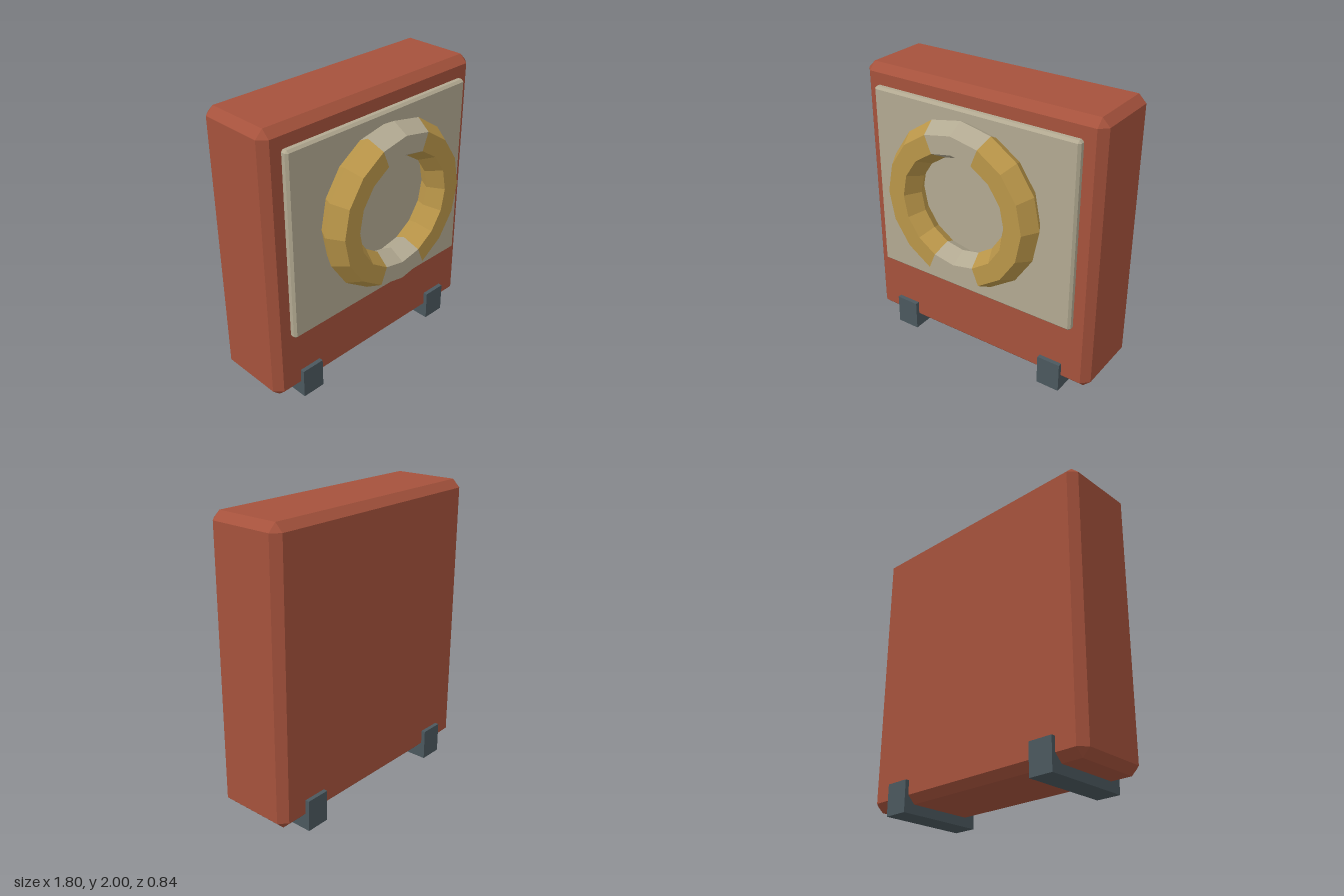
import * as THREE from 'three';
import { ConvexGeometry } from 'three/addons/geometries/ConvexGeometry.js';

const mat = (color) => new THREE.MeshStandardMaterial({ color, flatShading: true });

// Box with every edge and corner cut flat by c
function chamferBox(w, h, d, c) {
  const points = [];
  for (const sx of [-1, 1]) for (const sy of [-1, 1]) for (const sz of [-1, 1]) {
    const x = w / 2, y = h / 2, z = d / 2;
    points.push(
      new THREE.Vector3(sx * x, sy * (y - c), sz * (z - c)),
      new THREE.Vector3(sx * (x - c), sy * y, sz * (z - c)),
      new THREE.Vector3(sx * (x - c), sy * (y - c), sz * z));
  }
  return new ConvexGeometry(points);
}

export function createModel() {
  const model = new THREE.Group();
  model.name = 'panelWithRing';
  const red = mat(0xa5523c), cream = mat(0xb2a991), gold = mat(0xba9649), slate = mat(0x4b585e);

  const add = (parent, name, geometry, material, x, y, z) => {
    const mesh = new THREE.Mesh(geometry, material);
    mesh.name = name;
    mesh.position.set(x, y, z);
    parent.add(mesh);
    return mesh;
  };

  // Body and front plate
  add(model, 'body', chamferBox(1.8, 1.935, 0.56, 0.053), red, 0, 1.0325, -0.11);
  add(model, 'frontPlate', chamferBox(1.55, 1.325, 0.06, 0.016), cream, 0, 1.2075, 0.195);

  // Ring of 16 hexagonal segments, cream at top and bottom, gold at the sides
  const ring = new THREE.Group();
  ring.name = 'ring';
  ring.position.set(0, 1.26, 0.31);
  model.add(ring);
  const step = Math.PI / 8;
  const arcs = [
    ['ringTop', 3, 2, cream], ['ringRight', 5, 6, gold],
    ['ringBottom', 11, 2, cream], ['ringLeft', 13, 6, gold],
  ];
  for (const [name, start, count, material] of arcs) {
    const arc = new THREE.TorusGeometry(0.455, 0.125, 6, count, count * step);
    add(ring, name, arc, material, 0, 0, 0).rotation.z = start * step;
  }

  // Feet wrap under the body and stand proud at front and back
  for (const side of [-1, 1]) {
    add(model, side > 0 ? 'leftFoot' : 'rightFoot',
      new THREE.BoxGeometry(0.17, 0.215, 0.618), slate, side * 0.615, 0.1075, -0.109);
  }
  return model;
}
